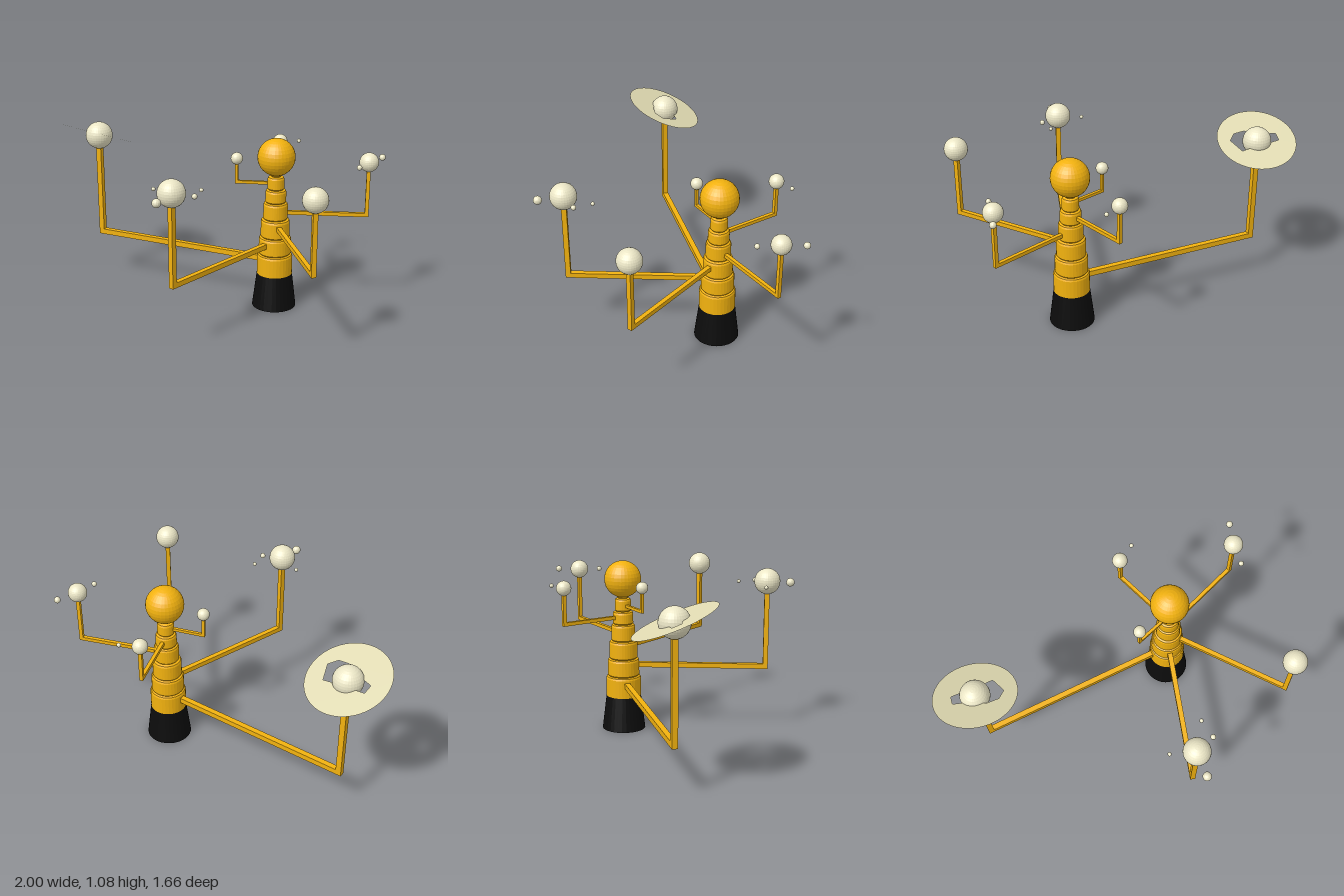
import * as THREE from 'three';

const mat = (color, side = THREE.FrontSide) => new THREE.MeshStandardMaterial({ color, side, flatShading: true });
const gold = mat(0xf2b20f);
const black = mat(0x0c0c0c);
const ivory = mat(0xebe6c6);
const ringMat = mat(0xe0dab2, THREE.DoubleSide);

const CX = 0.33, CZ = -0.03; // axis of the column

function add(parent, name, geometry, material, x, y, z) {
  const m = new THREE.Mesh(geometry, material);
  m.name = name;
  m.position.set(x, y, z);
  parent.add(m);
  return m;
}

const ball = (r) => new THREE.SphereGeometry(r, r > 0.03 ? 32 : 16, r > 0.03 ? 16 : 10);

// Horizontal arm from the column, upright post at its end, planet on top, moons around it
function planetArm(root, p) {
  const g = new THREE.Group();
  g.name = p.name;
  const dx = p.x - CX, dz = p.z - CZ;
  const len = Math.hypot(dx, dz), t = p.t;
  const rig = new THREE.Group();
  rig.name = 'support';
  rig.position.set(CX, 0, CZ);
  rig.rotation.y = Math.atan2(-dz, dx);
  add(rig, 'arm', new THREE.BoxGeometry(len + t / 2, t, t), gold, (len + t / 2) / 2, p.arm, 0);
  const h = p.y - p.arm;
  add(rig, 'post', new THREE.BoxGeometry(t, h, t), gold, len, p.arm - t / 2 + h / 2, 0);
  g.add(rig);
  add(g, 'planet', ball(p.r), ivory, p.x, p.y, p.z);
  for (const [x, z, r] of p.moons || []) add(g, 'moon', ball(r), ivory, x, 0.948, z);
  root.add(g);
  return g;
}

export function createModel() {
  const root = new THREE.Group();
  root.name = 'orrery';

  // Tapered foot
  add(root, 'base', new THREE.CylinderGeometry(0.11, 0.137, 0.217, 32), black, CX, 0.1085, CZ);

  // Stacked column tiers with rounded shoulders: [radius, bottom, top]
  const tiers = [
    [0.11, 0.217, 0.347], [0.1, 0.347, 0.458], [0.089, 0.458, 0.573],
    [0.075, 0.573, 0.68], [0.064, 0.68, 0.762], [0.051, 0.762, 0.845], [0.036, 0.845, 0.89],
  ];
  const profile = [new THREE.Vector2(0, 0.217)];
  tiers.forEach(([r, y0, y1], i) => {
    const s = 0.016;
    if (i) profile.push(new THREE.Vector2(r - 0.006, y0));
    profile.push(new THREE.Vector2(r, y0 + (i ? 0.008 : 0)));
    for (const a of [0, 0.5, 1]) {
      const q = a * Math.PI / 2;
      profile.push(new THREE.Vector2(r - s + s * Math.cos(q), y1 - s + s * Math.sin(q)));
    }
  });
  profile.push(new THREE.Vector2(0, 0.89));
  add(root, 'column', new THREE.LatheGeometry(profile, 32), gold, CX, 0, CZ);

  // Central sun
  add(root, 'sun', ball(0.115), gold, CX, 0.965, CZ);

  const planets = [
    { name: 'firstPlanet', x: 0.094, z: -0.075, y: 0.947, r: 0.037, arm: 0.8, t: 0.018 },
    { name: 'secondPlanet', x: 0.396, z: -0.437, y: 0.948, r: 0.046, arm: 0.725, t: 0.022, moons: [[0.516, -0.44, 0.013]] },
    {
      name: 'thirdPlanet', x: 0.877, z: 0.05, y: 0.948, r: 0.058, arm: 0.615, t: 0.023,
      moons: [[0.976, -0.045, 0.02], [0.8, 0.157, 0.016]],
    },
    { name: 'fourthPlanet', x: 0.457, z: 0.757, y: 0.96, r: 0.072, arm: 0.531, t: 0.028 },
    {
      name: 'fifthPlanet', x: -0.305, z: 0.603, y: 0.96, r: 0.08, arm: 0.417, t: 0.031,
      moons: [[-0.403, 0.487, 0.012], [-0.14, 0.52, 0.012], [-0.18, 0.627, 0.016], [-0.385, 0.727, 0.026]],
    },
    { name: 'ringedPlanet', x: -0.765, z: -0.6, y: 0.96, r: 0.087, arm: 0.3, t: 0.034 },
  ];
  const groups = planets.map((p) => planetArm(root, p));

  // Thin tilted ring with an irregular slot around the planet
  const disc = new THREE.Shape().absarc(0, 0, 0.243, 0, Math.PI * 2);
  const slot = [[-22, -11], [-16, -19], [14, -3], [25, 2], [21, 21], [10, 24], [-1, 18], [-14, -2]];
  disc.holes.push(new THREE.Path(slot.map(([x, z]) => new THREE.Vector2(x / 182, -z / 182))));
  const ringGeo = new THREE.ShapeGeometry(disc, 32).rotateX(-Math.PI / 2);
  const ring = add(groups[5], 'ring', ringGeo, ringMat, -0.765, 0.968, -0.598);
  const normal = new THREE.Vector3(0.26, 0.926, -0.27).normalize();
  ring.quaternion.setFromUnitVectors(new THREE.Vector3(0, 1, 0), normal);

  return root;
}
